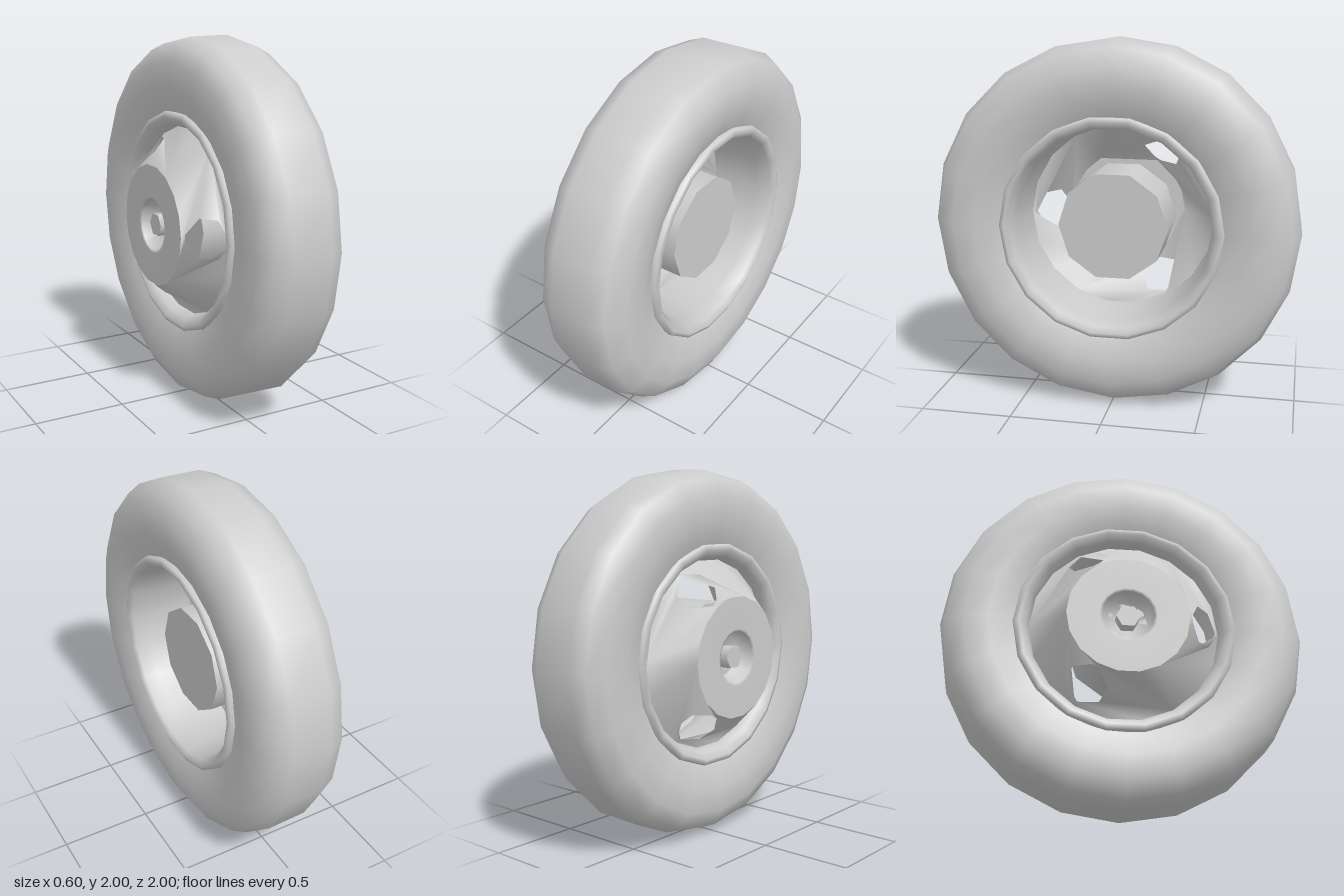
import * as THREE from 'three';
import { mergeGeometries, mergeVertices } from 'three/addons/utils/BufferGeometryUtils.js';

const grey = new THREE.MeshStandardMaterial({ color: 0xcccccc, side: THREE.DoubleSide });
grey.name = 'plain grey';

// Surface turned about the x axis from [radius, x] points
function turned(name, points, sides) {
  const geometry = new THREE.LatheGeometry(points.map(([r, x]) => new THREE.Vector2(r, x)), sides);
  geometry.rotateZ(-Math.PI / 2);
  const mesh = new THREE.Mesh(geometry, grey);
  mesh.name = name;
  return mesh;
}

// Solid cylinder lying along x
function drum(name, radius, x0, x1, sides) {
  const geometry = new THREE.CylinderGeometry(radius, radius, x1 - x0, sides);
  geometry.rotateZ(-Math.PI / 2).translate((x0 + x1) / 2, 0, 0);
  const mesh = new THREE.Mesh(geometry, grey);
  mesh.name = name;
  return mesh;
}

// Conical wheel disc: three flat (angle, radius) sheets, each with a hole, bent round the axle
function wheelDisc() {
  const inner = 0.33, outer = 0.52, steps = 6, half = Math.PI / 3;
  const edge = [];
  for (let i = 0; i <= steps; i++) edge.push(-half + (2 * half * i) / steps);
  const hole = [[0, 0.5], [0.22, 0.465], [0.27, 0.4], [0.06, 0.345], [-0.06, 0.345], [-0.27, 0.4], [-0.22, 0.465]];
  const sheets = [];
  for (let k = 0; k < 3; k++) {
    const shape = new THREE.Shape([
      ...edge.map(a => new THREE.Vector2(a, inner)),
      ...edge.slice().reverse().map(a => new THREE.Vector2(a, outer)),
    ]);
    shape.holes.push(new THREE.Path(hole.map(([a, r]) => new THREE.Vector2(a, r))));
    const sheet = new THREE.ShapeGeometry(shape);
    const p = sheet.attributes.position;
    for (let i = 0; i < p.count; i++) {
      const a = p.getX(i) + k * 2 * half, r = p.getY(i);
      p.setXYZ(i, -0.3 + (r - inner) * 1.1, r * Math.sin(a), r * Math.cos(a));
    }
    sheet.deleteAttribute('normal');
    sheet.deleteAttribute('uv');
    sheets.push(sheet);
  }
  const geometry = mergeVertices(mergeGeometries(sheets), 1e-4);
  geometry.computeVertexNormals();
  const mesh = new THREE.Mesh(geometry, grey);
  mesh.name = 'wheelDisc';
  return mesh;
}

export function createModel() {
  const wheel = new THREE.Group();
  wheel.name = 'wheel';

  // Rounded tyre
  wheel.add(turned('tyre', [
    [0.56, -0.12], [0.62, -0.155], [0.74, -0.19], [0.87, -0.19], [0.96, -0.145], [0.995, -0.06],
    [1, 0.16], [0.96, 0.24], [0.86, 0.295], [0.74, 0.295], [0.62, 0.26], [0.56, 0.22],
  ], 20));

  // Rim barrel with a rolled lip on each side
  wheel.add(turned('rim', [
    [0.61, 0.24], [0.605, 0.275], [0.58, 0.285], [0.55, 0.26], [0.535, 0.18],
    [0.52, -0.09], [0.54, -0.14], [0.575, -0.175], [0.605, -0.165], [0.61, -0.13],
  ], 18));

  wheel.add(wheelDisc());

  // Raised hub face with a sunken centre
  wheel.add(turned('hubFace', [[0, -0.2], [0.12, -0.2], [0.14, -0.295], [0.155, -0.3], [0.33, -0.3]], 18));
  wheel.add(drum('axleNut', 0.065, -0.21, -0.28, 6));

  // Brake drum in the dish, joined to the hub by a short axle
  wheel.add(drum('brakeDrum', 0.3, -0.15, 0.18, 10));
  wheel.add(drum('axle', 0.11, -0.2, -0.15, 10));

  wheel.position.y = 1;
  const model = new THREE.Group();
  model.name = 'wheelModel';
  model.add(wheel);
  return model;
}
